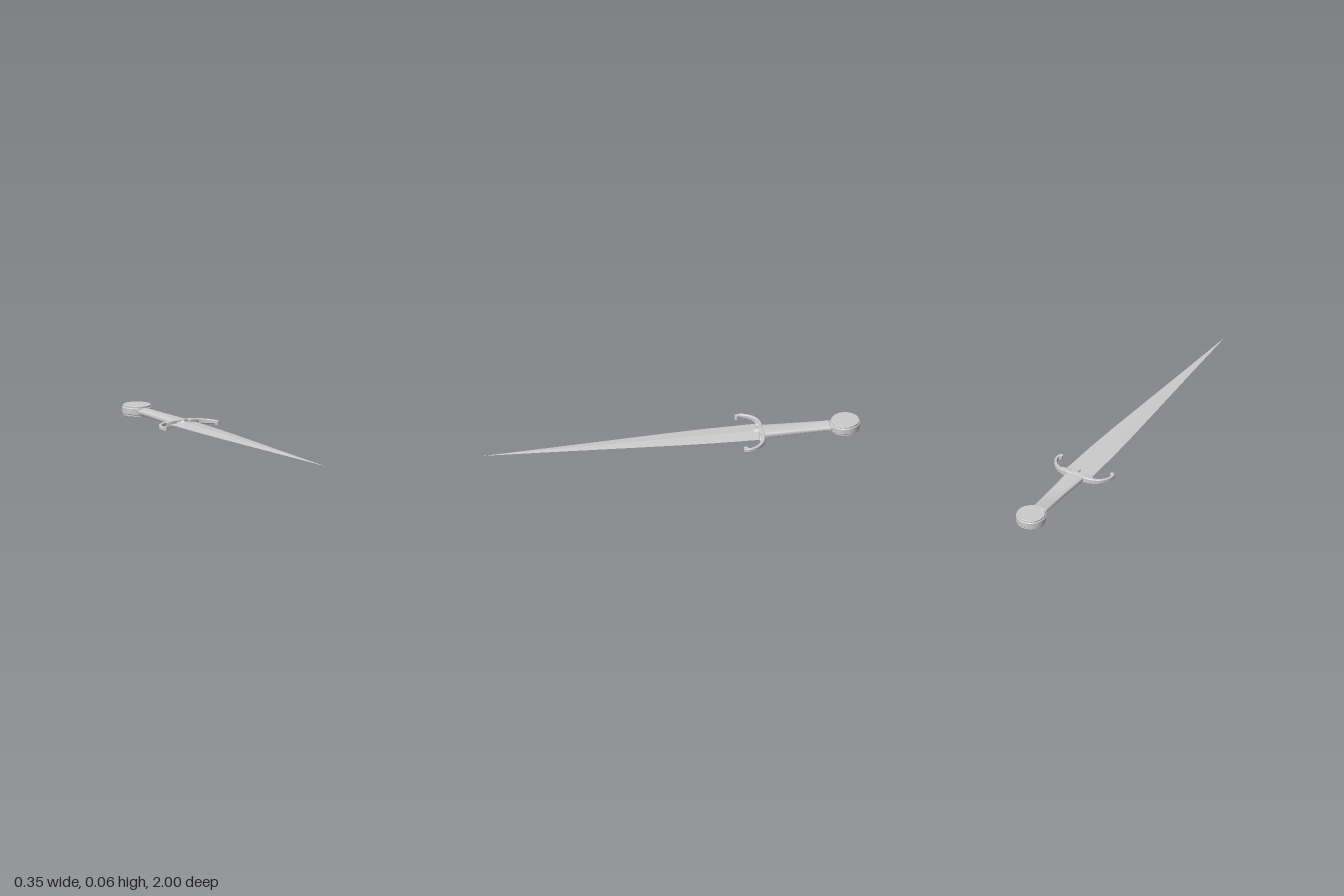
import * as THREE from 'three';
import { toCreasedNormals } from 'three/addons/utils/BufferGeometryUtils.js';

const MID = 0.0285; // height of the dagger's central plane
const material = new THREE.MeshStandardMaterial({ color: 0xcccccc });

function part(name, geometry, crease = 0.6) {
  const mesh = new THREE.Mesh(toCreasedNormals(geometry, crease), material);
  mesh.name = name;
  return mesh;
}

// Skins a list of rings, each running counter-clockwise about the direction of travel
function loft(rings) {
  const n = rings[0].length;
  const index = [];
  const last = (rings.length - 1) * n;
  for (let i = 0; i < rings.length - 1; i++) {
    for (let j = 0; j < n; j++) {
      const k = (j + 1) % n;
      const a = i * n + j, b = i * n + k;
      index.push(a, b, b + n, a, b + n, a + n);
    }
  }
  for (let j = 1; j < n - 1; j++) {
    index.push(0, j + 1, j, last, last + j, last + j + 1);
  }
  const geometry = new THREE.BufferGeometry();
  geometry.setAttribute('position', new THREE.Float32BufferAttribute(rings.flat(2), 3));
  geometry.setIndex(index);
  return geometry;
}

// Cross-sections across z, as half width w and half height h
const diamond = ([z, w, h]) => [[w, 0, z], [0, h, z], [-w, 0, z], [0, -h, z]];
const roundedRing = ([z, w, h]) => Array.from({ length: 24 }, (_, i) => {
  const a = (i / 24) * Math.PI * 2;
  const bulge = (v) => Math.sign(v) * Math.pow(Math.abs(v), 0.7);
  return [w * bulge(Math.cos(a)), h * bulge(Math.sin(a)), z];
});

// Curved crossguard: a chamfered bar swept along a bow, slimmer towards the tips
function guardGeometry() {
  const half = [[0.05, -0.476], [0.1, -0.469], [0.14, -0.445], [0.163, -0.41],
    [0.169, -0.385], [0.165, -0.37], [0.157, -0.366]];
  const points = [
    ...half.slice().reverse().map(([x, z]) => new THREE.Vector3(-x, 0, z)),
    new THREE.Vector3(0, 0, -0.47),
    ...half.map(([x, z]) => new THREE.Vector3(x, 0, z)),
  ];
  const curve = new THREE.CatmullRomCurve3(points);
  const rings = [];
  for (let i = 0; i <= 72; i++) {
    const p = curve.getPoint(i / 72);
    const d = curve.getTangent(i / 72);
    const t = Math.min(1, Math.abs(p.x) / 0.17);
    const h = 0.0205 - 0.0105 * t;
    const w = 0.012 - 0.005 * t;
    const c = 0.003;
    const outline = [[w, -h + c], [w, h - c], [w - c, h], [c - w, h],
      [-w, h - c], [-w, c - h], [c - w, -h], [w - c, -h]];
    rings.push(outline.map(([s, y]) => [p.x + d.z * s, y, p.z - d.x * s]));
  }
  return loft(rings);
}

export function createModel() {
  const dagger = new THREE.Group();
  dagger.name = 'dagger';
  const body = new THREE.Group();
  body.name = 'body';
  body.position.y = MID;
  dagger.add(body);

  // Long tapering blade with a central ridge
  const bladeSections = [[-0.46, 0.079, 0.0075], [-0.2, 0.073, 0.007], [0, 0.063, 0.0065],
    [0.3, 0.044, 0.005], [0.6, 0.0245, 0.0035], [0.85, 0.009, 0.0018], [1, 0.0005, 0.0004]];
  body.add(part('blade', loft(bladeSections.map(diamond)), 0.1));

  // Grip, widening towards the guard, with a small collar at the pommel
  const gripSections = [[-0.87, 0.037, 0.014], [-0.838, 0.037, 0.014], [-0.836, 0.043, 0.0165],
    [-0.822, 0.043, 0.0165], [-0.82, 0.04, 0.0155], [-0.65, 0.045, 0.017], [-0.47, 0.053, 0.0185]];
  body.add(part('grip', loft(gripSections.map(roundedRing))));

  // Disc pommel with stepped caps on both faces
  const upper = [[0.079, 0.015], [0.077, 0.0175], [0.074, 0.0185], [0.074, 0.0265], [0.072, 0.0285], [0, 0.0285]];
  const profile = [
    ...upper.slice().reverse().map(([r, y]) => new THREE.Vector2(r, -y)),
    ...upper.map(([r, y]) => new THREE.Vector2(r, y)),
  ];
  const pommel = part('pommel', new THREE.LatheGeometry(profile, 64), 0.5);
  pommel.position.z = -0.921;
  body.add(pommel);

  // Crossguard and the pointed tongue over the blade
  body.add(part('crossguard', guardGeometry()));
  const tongueSections = [[-0.475, 0.045, 0.02], [-0.462, 0.034, 0.0195], [-0.45, 0.017, 0.0175],
    [-0.435, 0.007, 0.014], [-0.415, 0.0005, 0.008]];
  body.add(part('guardTongue', loft(tongueSections.map(diamond)), 0.3));

  // Rounded lips beside the blade and rolled tips on both arms
  for (const side of [-1, 1]) {
    const lipShape = new THREE.Shape();
    lipShape.moveTo(-0.02, -0.016);
    lipShape.lineTo(0.02, -0.0125);
    lipShape.quadraticCurveTo(0.029, -0.011, 0.029, 0);
    lipShape.quadraticCurveTo(0.029, 0.011, 0.02, 0.0125);
    lipShape.lineTo(-0.02, 0.016);
    lipShape.quadraticCurveTo(-0.028, 0.015, -0.028, 0);
    lipShape.quadraticCurveTo(-0.028, -0.015, -0.02, -0.016);
    const lip = part('guardLip', new THREE.ExtrudeGeometry(lipShape, {
      depth: 0.014, bevelEnabled: true, bevelSize: 0.002, bevelThickness: 0.002, bevelSegments: 2,
    }));
    lip.position.set(side * 0.068, 0, -0.47);
    if (side < 0) lip.rotation.z = Math.PI;
    body.add(lip);

    const tip = part('guardTip', new THREE.CylinderGeometry(0.0115, 0.0115, 0.021, 24));
    tip.position.set(side * 0.158, 0, -0.369);
    body.add(tip);
  }

  return dagger;
}
